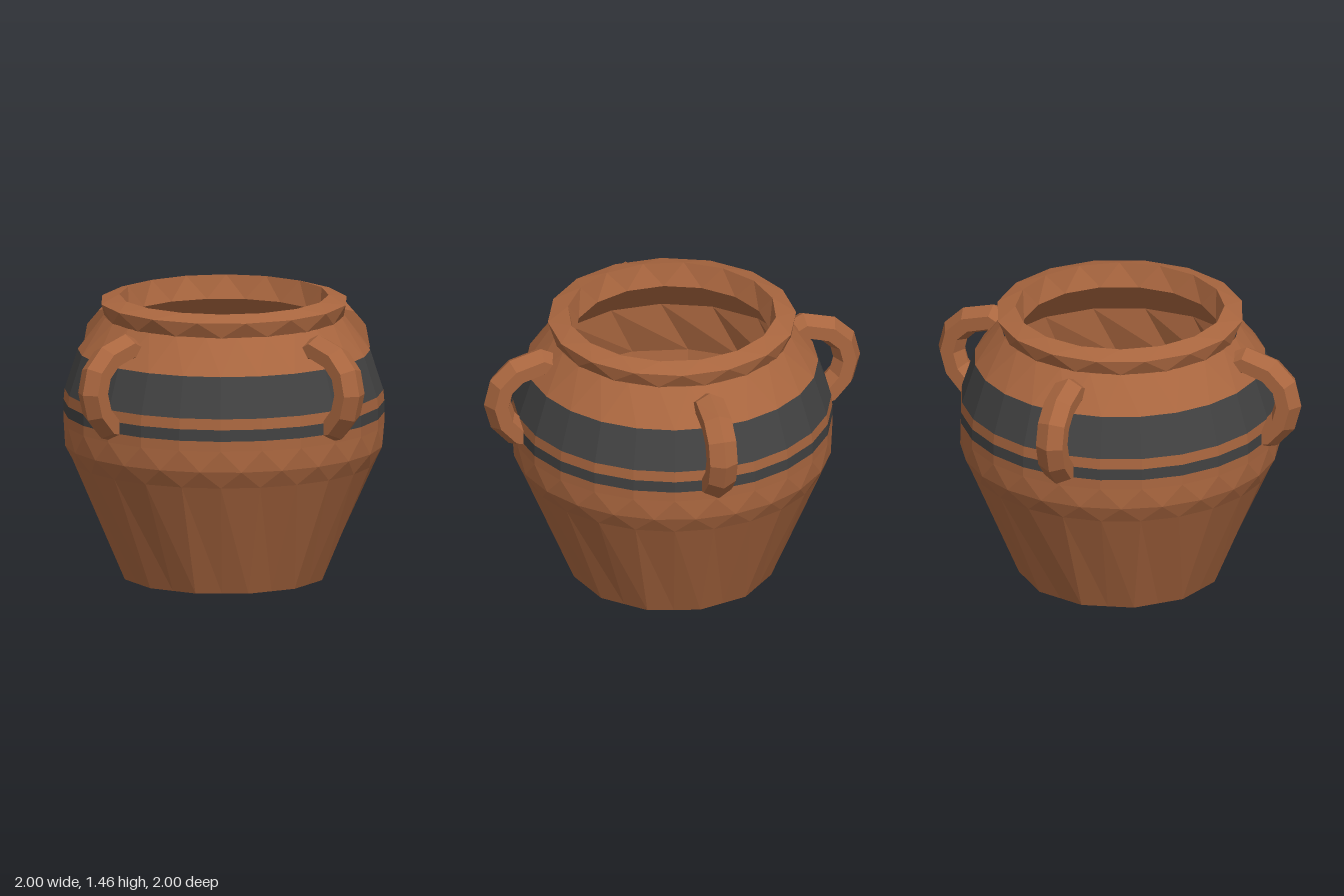
import * as THREE from 'three';

const clay = new THREE.MeshStandardMaterial({ color: 0xa9663f, flatShading: true });
clay.name = 'terracotta';
const glaze = new THREE.MeshStandardMaterial({ color: 0x424242, flatShading: true });
glaze.name = 'dark glaze';

// One ring of the pot. Shift turns it by a part of a step; a chord ring has half
// as many corners, with every odd vertex halfway along a straight side.
function ringPoints([r, y, shift = 0, chord = false], sides) {
  const step = (Math.PI * 2) / sides;
  const at = k => new THREE.Vector3(
    r * Math.cos((k + shift) * step), y, -r * Math.sin((k + shift) * step));
  return Array.from({ length: sides }, (_, k) =>
    chord && k % 2 ? at(k - 1).lerp(at(k + 1), 0.5) : at(k));
}

// Joins rings of points into faceted walls
function skin(name, rings, material) {
  const out = [];
  for (let i = 0; i + 1 < rings.length; i++) {
    const a = rings[i], b = rings[i + 1], n = a.length;
    for (let k = 0; k < n; k++) {
      const j = (k + 1) % n;
      for (const p of [a[k], a[j], b[k], b[k], a[j], b[j]]) out.push(p.x, p.y, p.z);
    }
  }
  const geo = new THREE.BufferGeometry();
  geo.setAttribute('position', new THREE.Float32BufferAttribute(out, 3));
  geo.computeVertexNormals();
  const mesh = new THREE.Mesh(geo, material);
  mesh.name = name;
  return mesh;
}

const turned = (name, rows, sides, material) =>
  skin(name, rows.map(row => ringPoints(row, sides)), material);

// Curved handle: a hexagonal section, ridge outwards, carried along an arc
function handleMesh() {
  const path = [[0.63, 1.23], [0.70, 1.272], [0.83, 1.235], [0.902, 1.165],
    [0.925, 1.07], [0.897, 0.97], [0.825, 0.89], [0.76, 0.875]]
    .map(([x, y]) => new THREE.Vector2(x, y));
  const section = [[0.076, 0], [0.038, 0.073], [-0.034, 0.073],
    [-0.068, 0], [-0.034, -0.073], [0.038, -0.073]];
  const rings = path.map((p, i) => {
    const t = path[Math.min(i + 1, path.length - 1)].clone()
      .sub(path[Math.max(i - 1, 0)]).normalize();
    const out = new THREE.Vector2(-t.y, t.x);
    return section.map(([o, w]) => new THREE.Vector3(p.x + out.x * o, p.y + out.y * o, w));
  });
  // closed ends
  const centre = p => section.map(() => new THREE.Vector3(p.x, p.y, 0));
  return skin('handle', [centre(path[0]), ...rings, centre(path[path.length - 1])], clay);
}

export function createModel() {
  const pot = new THREE.Group();
  pot.name = 'pot';

  // Belly, from the twelve-sided foot to the first stripe
  pot.add(turned('belly', [[0, 0, 0, true], [0.522, 0, 0, true], [0.775, 0.6],
    [0.817, 0.69, 0.5], [0.82, 0.8, 1], [0.82, 0.852, 1]], 24, clay));

  // Painted stripes and the clay between them
  pot.add(turned('lowerStripe', [[0.82, 0.852], [0.82, 0.912]], 24, glaze));
  pot.add(turned('bandBetweenStripes', [[0.82, 0.912], [0.815, 0.968]], 24, clay));
  pot.add(turned('upperStripe', [[0.815, 0.968], [0.748, 1.175]], 24, glaze));
  pot.add(turned('shoulder', [[0.748, 1.175], [0.61, 1.352, 0.5]], 24, clay));

  // Flared lip
  pot.add(turned('rim', [[0.58, 1.345], [0.612, 1.35], [0.637, 1.43, 0.5],
    [0.535, 1.46, 1], [0.50, 1.34, 1.5]], 16, clay));

  // Hollow inside and floor
  pot.add(turned('inside', [[0.50, 1.34, 0.5], [0.68, 1.14, 0.5], [0.73, 0.85],
    [0.70, 0.62], [0.46, 0.06], [0, 0.06]], 16, clay));

  // Four handles around the shoulder
  ['leftHandle', 'backHandle', 'rightHandle', 'frontHandle'].forEach((name, i) => {
    const handle = handleMesh();
    handle.name = name;
    handle.rotation.y = (i * Math.PI) / 2;
    pot.add(handle);
  });
  return pot;
}
